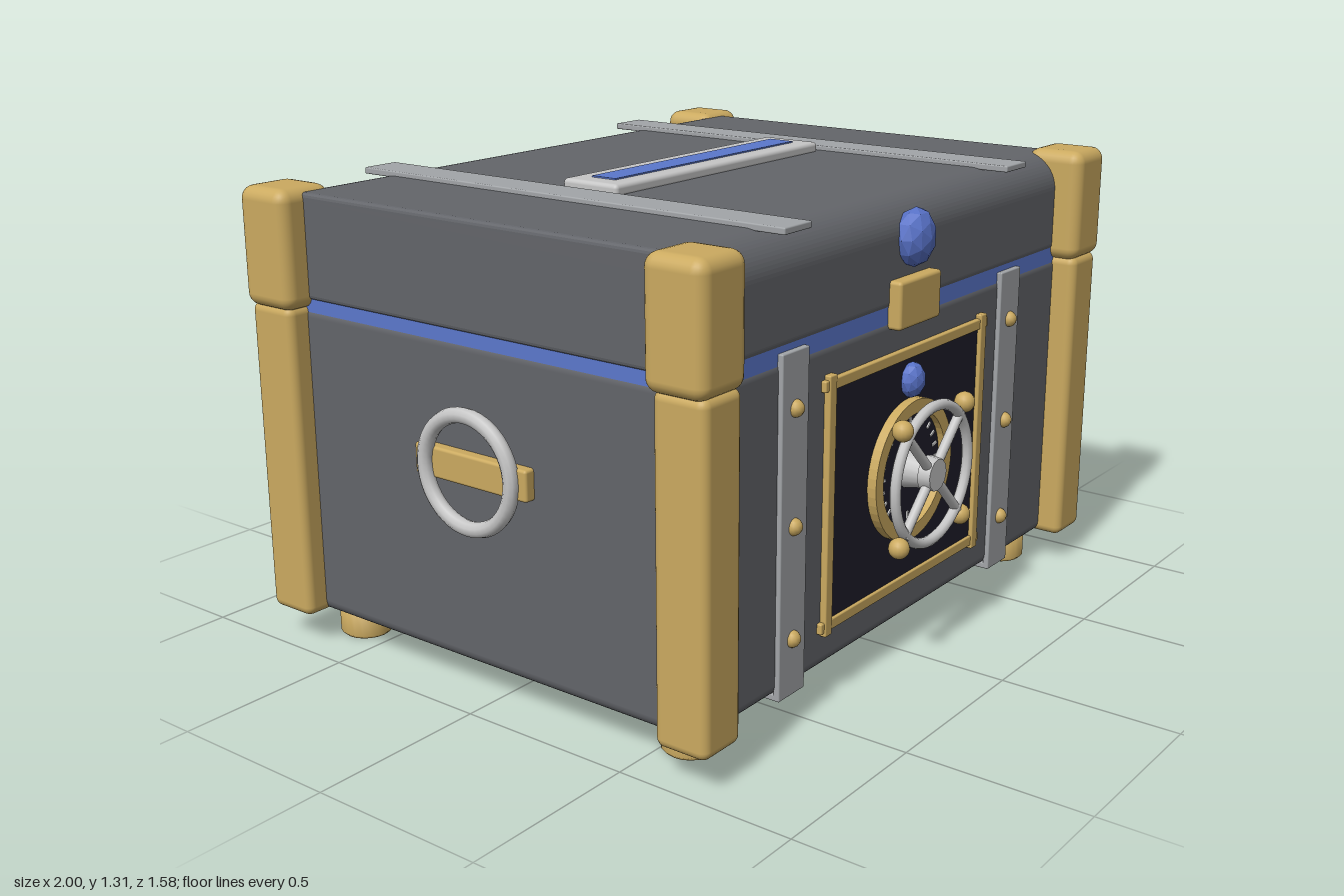
import * as THREE from 'three';
import { RoundedBoxGeometry } from 'three/addons/geometries/RoundedBoxGeometry.js';

export function createModel() {
  const mat = (name, color, flatShading = false) =>
    Object.assign(new THREE.MeshStandardMaterial({ color, flatShading }), { name });
  const M = {
    body: mat('slate', 0x63656a),
    gold: mat('gold', 0xcbaa60),
    strap: mat('steel', 0xa2a5a8),
    silver: mat('silver', 0xc6c6c6),
    blue: mat('blue', 0x5b78cc),
    gem: mat('gemBlue', 0x5872c8, true),
    dark: mat('midnight', 0x1f1e2b),
    white: mat('white', 0xececec),
  };
  const root = new THREE.Group();
  root.name = 'treasureChest';
  const CZ = -0.02;          // chest centre in z
  const FRONT = 0.675, BACK = -0.715;

  const add = (name, geo, m, x = 0, y = 0, z = 0, parent = root) => {
    const mesh = new THREE.Mesh(geo, m);
    mesh.name = name;
    mesh.position.set(x, y, z);
    parent.add(mesh);
    return mesh;
  };
  // Box given by its limits, with optional rounding
  const box = (name, m, x0, x1, y0, y1, z0, z1, r = 0, parent = root) => {
    const s = [x1 - x0, y1 - y0, z1 - z0];
    const geo = r ? new RoundedBoxGeometry(...s, 3, r) : new THREE.BoxGeometry(...s);
    return add(name, geo, m, (x0 + x1) / 2, (y0 + y1) / 2, (z0 + z1) / 2, parent);
  };

  // Body and the blue seam under the lid
  box('body', M.body, -0.92, 0.92, 0.09, 0.975, BACK, FRONT, 0.035);
  box('seam', M.blue, -0.917, 0.917, 0.94, 1.02, BACK + 0.003, FRONT - 0.003);

  // Lid: rounded profile swept along x
  const hw = (FRONT - BACK) / 2 - 0.012, y0 = 1.002, y1 = 1.265, R = 0.09, r = 0.012;
  const p = new THREE.Shape();
  p.moveTo(-hw + r, y0);
  p.lineTo(hw - r, y0);
  p.quadraticCurveTo(hw, y0, hw, y0 + r);
  p.lineTo(hw, y1 - R);
  p.absarc(hw - R, y1 - R, R, 0, Math.PI / 2);
  p.lineTo(-hw + R, y1);
  p.absarc(-hw + R, y1 - R, R, Math.PI / 2, Math.PI);
  p.lineTo(-hw, y0 + r);
  p.quadraticCurveTo(-hw, y0, -hw + r, y0);
  const lidGeo = new THREE.ExtrudeGeometry(p, {
    depth: 1.826, bevelSize: 0.012, bevelThickness: 0.012, bevelSegments: 3, curveSegments: 8,
  });
  lidGeo.translate(0, 0, -0.913).rotateY(Math.PI / 2);
  add('lid', lidGeo, M.body, 0, 0, CZ);

  // Corner posts, caps and feet
  for (const sx of [-1, 1]) for (const sz of [-1, 1]) {
    add('cornerPost', new RoundedBoxGeometry(0.147, 0.885, 0.155, 3, 0.025), M.gold,
      sx * 0.91, 0.5325, CZ + sz * 0.688);
    add('cornerCap', new RoundedBoxGeometry(0.178, 0.325, 0.178, 3, 0.036), M.gold,
      sx * 0.911, 1.1275, CZ + sz * 0.682);
    const foot = new THREE.LatheGeometry([
      [0, 0], [0.065, 0], [0.075, 0.01], [0.075, 0.1], [0, 0.1],
    ].map(([a, b]) => new THREE.Vector2(a, b)), 20);
    add('foot', foot, M.gold, sx * 0.8, 0, CZ + sz * 0.582);
  }

  // Metal straps with rivets
  const rivet = new THREE.SphereGeometry(0.023, 12, 8);
  for (const s of [-1, 1]) {
    const a = s * 0.545 - 0.057, b = s * 0.545 + 0.057;
    box('lidStrap', M.strap, a, b, 1.272, 1.29, BACK - 0.017, FRONT + 0.013, 0.004);
    box('frontStrap', M.strap, a, b, 0.08, 0.985, FRONT - 0.005, FRONT + 0.013, 0.004);
    box('backStrap', M.strap, a, b, 0.08, 0.985, BACK - 0.017, BACK + 0.005, 0.004);
    box('bottomStrap', M.strap, a, b, 0.08, 0.098, BACK - 0.015, FRONT + 0.012, 0.004);
    for (const y of [0.235, 0.535, 0.84]) {
      add('rivet', rivet, M.gold, s * 0.545, y, FRONT + 0.012);
      add('rivet', rivet, M.gold, s * 0.545, y, BACK - 0.018);
    }
  }

  // Top plate with blue inlay
  box('topPlate', M.silver, -0.467, 0.467, 1.27, 1.305, -0.118, 0.068, 0.012);
  box('topInlay', M.blue, -0.41, 0.41, 1.302, 1.309, -0.064, 0.016);

  // Clasp and gems
  box('clasp', M.gold, -0.104, 0.104, 0.94, 1.07, FRONT - 0.01, FRONT + 0.035, 0.01);
  const gem = new THREE.IcosahedronGeometry(1, 1);
  add('lidGem', gem, M.gem, 0, 1.17, FRONT + 0.01).scale.set(0.07, 0.08, 0.05);
  add('panelGem', gem, M.gem, 0, 0.785, FRONT + 0.015).scale.set(0.043, 0.05, 0.035);

  // Dark front panel with crossing frame bars
  box('frontPanel', M.dark, -0.375, 0.375, 0.22, 0.85, FRONT - 0.002, FRONT + 0.006);
  for (const s of [-1, 1]) {
    const y = 0.535 + s * 0.325, x = s * 0.385;
    box('frameRail', M.gold, -0.415, 0.415, y - 0.015, y + 0.015, FRONT - 0.01, FRONT + 0.014, 0.004);
    box('frameStile', M.gold, x - 0.016, x + 0.016, 0.185, 0.887, FRONT - 0.01, FRONT + 0.018, 0.004);
  }

  // Dial and hand wheel, modelled around their own centre
  const lock = new THREE.Group();
  lock.name = 'lockWheel';
  lock.position.set(0, 0.535, 0);
  root.add(lock);
  const annulus = new THREE.Shape().absarc(0, 0, 0.197, 0, Math.PI * 2);
  annulus.holes.push(new THREE.Path().absarc(0, 0, 0.16, 0, Math.PI * 2, true));
  add('dialRim', new THREE.ExtrudeGeometry(annulus, { depth: 0.03, bevelEnabled: false, curveSegments: 24 }),
    M.gold, 0, 0, 0.678, lock);
  add('dialFace', new THREE.CylinderGeometry(0.162, 0.162, 0.008, 40).rotateX(Math.PI / 2),
    M.dark, 0, 0, 0.684, lock);
  for (let i = 0; i < 24; i++) {
    const a = i * Math.PI / 12;
    const tick = add('dialTick', new THREE.BoxGeometry(i % 6 ? 0.02 : 0.032, 0.007, 0.006), M.white,
      Math.cos(a) * 0.138, Math.sin(a) * 0.138, 0.689, lock);
    tick.rotation.z = a;
  }
  add('wheelShaft', new THREE.CylinderGeometry(0.04, 0.055, 0.08, 16).rotateX(Math.PI / 2),
    M.silver, 0, 0, 0.715, lock);
  add('wheelHub', new THREE.CylinderGeometry(0.045, 0.05, 0.035, 12).rotateX(Math.PI / 2),
    M.silver, 0, 0, 0.762, lock);
  add('wheelRim', new THREE.TorusGeometry(0.19, 0.015, 10, 48), M.silver, 0, 0, 0.762, lock);
  const knob = new THREE.SphereGeometry(0.029, 16, 12);
  for (let i = 0; i < 4; i++) {
    const a = Math.PI / 4 + i * Math.PI / 2, c = Math.cos(a), s = Math.sin(a);
    const spoke = add('wheelSpoke', new THREE.CylinderGeometry(0.014, 0.014, 0.2, 10), M.silver,
      c * 0.1, s * 0.1, 0.762, lock);
    spoke.rotation.z = a - Math.PI / 2;
    add('wheelKnob', knob, M.gold, c * 0.229, s * 0.229, 0.762, lock);
  }

  // Ring handles on both sides
  for (const s of [-1, 1]) {
    const handle = new THREE.Group();
    handle.name = s > 0 ? 'leftHandle' : 'rightHandle';
    handle.position.set(s * 0.92, 0.64, CZ);
    root.add(handle);
    add('handleBar', new RoundedBoxGeometry(0.06, 0.084, 0.385, 2, 0.008), M.gold, 0, 0, 0, handle);
    add('handleRing', new THREE.TorusGeometry(0.149, 0.021, 10, 48).rotateY(Math.PI / 2),
      M.silver, s * 0.036, 0, 0, handle);
  }
  return root;
}
